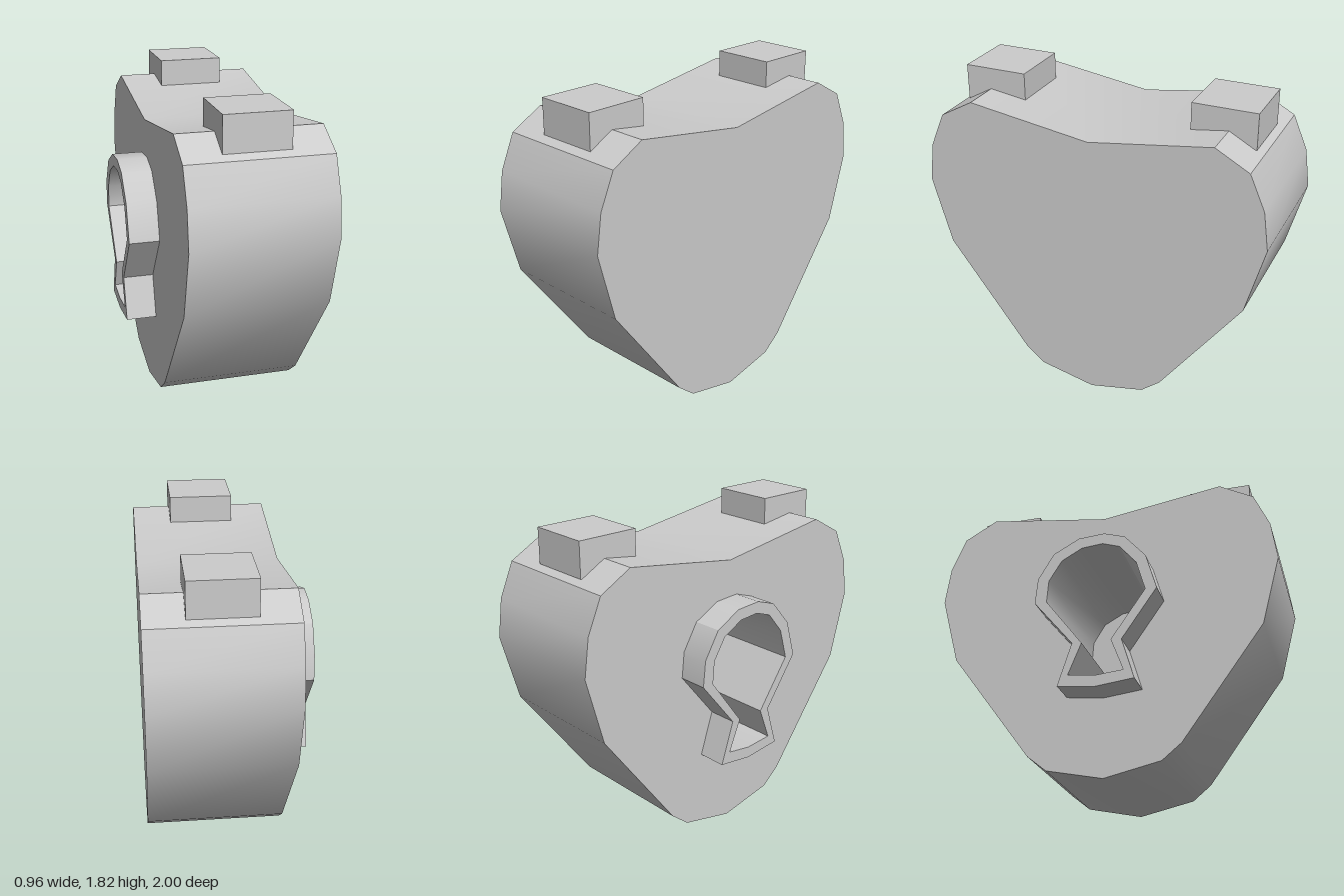
import * as THREE from 'three';
import { toCreasedNormals } from 'three/addons/utils/BufferGeometryUtils.js';

const material = new THREE.MeshStandardMaterial({ color: 0xcccccc });

// Profiles are lists of [z, y]; shapes lie in the plane across x.
const toPoints = (profile) => profile.map(([z, y]) => new THREE.Vector2(-z, y));

function makeShape(profile, hole) {
  const shape = new THREE.Shape(toPoints(profile));
  if (hole) shape.holes.push(new THREE.Path(toPoints(hole).reverse()));
  return shape;
}

function makeMesh(name, geometry) {
  const mesh = new THREE.Mesh(geometry, material);
  mesh.name = name;
  return mesh;
}

function extrudeAlongX(shape, x0, x1) {
  const geometry = new THREE.ExtrudeGeometry(shape, { depth: x1 - x0, bevelEnabled: false });
  geometry.rotateY(Math.PI / 2).translate(x0, 0, 0);
  return toCreasedNormals(geometry, THREE.MathUtils.degToRad(30));
}

// Flat face looking towards -x
function flatFace(profile, hole, x) {
  const mirrored = (points) => points && points.map(([z, y]) => [-z, y]);
  const geometry = new THREE.ShapeGeometry(makeShape(mirrored(profile), mirrored(hole)));
  return geometry.rotateY(-Math.PI / 2).translate(x, 0, 0);
}

export function createModel() {
  const group = new THREE.Group();
  group.name = 'heartPadlock';

  // Heart outline: one half, mirrored across z = 0
  const half = [[0.32, 0.07], [0.43, 0.16], [0.895, 0.79], [1, 1.18],
    [0.97, 1.4], [0.885, 1.595], [0.695, 1.7]];
  const heart = [[0, 0], ...half, [0, 1.597],
    ...half.map(([z, y]) => [-z, y]).reverse()];

  // Keyhole: round head, narrow waist, flared foot
  const rimOuter = [[-0.21, 0.48], [0, 0.455], [0.22, 0.48], [0.15, 0.715], [0.35, 1.0],
    [0.29, 1.21], [0.17, 1.35], [0.05, 1.39], [-0.1, 1.38], [-0.25, 1.3],
    [-0.34, 1.15], [-0.355, 1.0], [-0.13, 0.725]];
  const rimInner = [[-0.15, 0.54], [0, 0.52], [0.16, 0.535], [0.09, 0.72], [0.285, 1.0],
    [0.235, 1.175], [0.14, 1.29], [0.04, 1.325], [-0.08, 1.315], [-0.2, 1.25],
    [-0.275, 1.13], [-0.285, 1.0], [-0.075, 0.72]];

  // Body shell: the first lid is dropped to make way for the pierced face
  const shell = extrudeAlongX(makeShape(heart), -0.31, 0.48);
  const lidVertices = (heart.length - 2) * 3;
  for (const key of ['position', 'normal', 'uv']) {
    const { array, itemSize } = shell.attributes[key];
    shell.setAttribute(key, new THREE.BufferAttribute(array.slice(lidVertices * itemSize), itemSize));
  }
  shell.clearGroups();

  // The rim runs on into the body and lines the keyhole
  group.add(
    makeMesh('bodyShell', shell),
    makeMesh('piercedFace', flatFace(heart, rimInner, -0.31)),
    makeMesh('keyholeRim', extrudeAlongX(makeShape(rimOuter, rimInner), -0.48, 0.38)),
    makeMesh('keyholeFloor', flatFace(rimInner, null, 0.38)),
  );

  // Shackle stubs on the two lobes
  for (const [name, z] of [['frontStub', 0.66], ['backStub', -0.668]]) {
    const stub = makeMesh(name, new THREE.BoxGeometry(0.363, 0.2, 0.36));
    stub.position.set(0.082, 1.72, z);
    group.add(stub);
  }
  return group;
}
